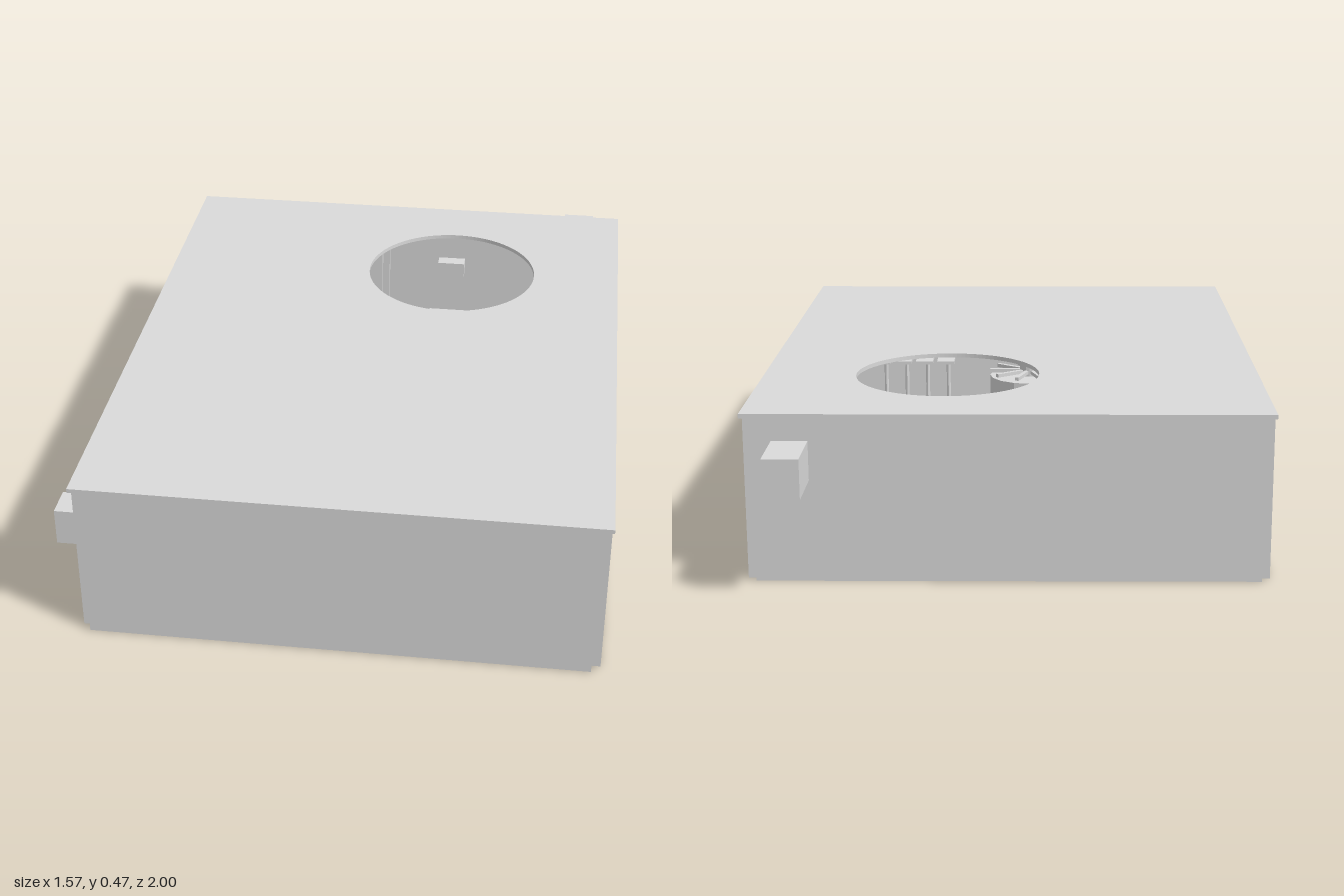
import * as THREE from 'three';

export function createModel() {
  const model = new THREE.Group();
  model.name = 'equipmentHousing';
  // One plain colour; every geometry below is faceted or flat
  const grey = new THREE.MeshStandardMaterial({ color: 0xdadada });
  grey.name = 'plain grey';
  grey.flatShading = true;

  const add = (name, geometry, x = 0, y = 0, z = 0) => {
    const mesh = new THREE.Mesh(geometry, grey);
    mesh.name = name;
    mesh.position.set(x, y, z);
    model.add(mesh);
    return mesh;
  };
  // Box given by its limits on each axis
  const box = (name, x0, x1, y0, y1, z0, z1) =>
    add(name, new THREE.BoxGeometry(x1 - x0, y1 - y0, z1 - z0),
      (x0 + x1) / 2, (y0 + y1) / 2, (z0 + z1) / 2);
  // Upright cylinder given by its bottom and top
  const post = (name, x, z, r, y0, y1, sides = 16) =>
    add(name, new THREE.CylinderGeometry(r, r, y1 - y0, sides), x, (y0 + y1) / 2, z);

  // Lid with a round opening
  const outline = new THREE.Shape([[-0.645, -1], [0.787, -1], [0.787, 0.83], [-0.645, 0.83]]
    .map(([x, y]) => new THREE.Vector2(x, y)));
  outline.holes.push(new THREE.Path().absarc(0.255, 0.368, 0.265, 0, Math.PI * 2, true));
  const lid = new THREE.ExtrudeGeometry(outline, { depth: 0.012, bevelEnabled: false, curveSegments: 64 });
  lid.rotateX(-Math.PI / 2);
  add('lid', lid, 0, 0.458, 0);

  // Walls, leaving a notch at each corner
  box('frontWall', -0.618, 0.757, 0, 0.46, 0.97, 0.998);
  box('backWall', -0.618, 0.757, 0, 0.46, -0.825, -0.798);
  box('rightWall', -0.642, -0.615, 0, 0.46, -0.8, 0.972);
  box('leftWall', 0.755, 0.782, 0, 0.46, -0.8, 0.972);

  // Narrow lip around the open bottom
  box('frontLip', -0.615, 0.755, 0, 0.012, 0.948, 0.97);
  box('backLip', -0.615, 0.755, 0, 0.012, -0.798, -0.776);
  box('rightLip', -0.615, -0.593, 0, 0.012, -0.776, 0.948);
  box('leftLip', 0.733, 0.755, 0, 0.012, -0.776, 0.948);

  // Outside connectors
  box('sideConnector', -0.787, -0.64, 0.073, 0.184, 0.613, 0.71);
  box('backConnector', 0.605, 0.703, 0.285, 0.395, -1, -0.82);

  // Upright ribs on the inside of the walls
  for (const x of [0.16, 0.13, -0.315]) box('frontRib', x - 0.008, x + 0.008, 0.012, 0.458, 0.945, 0.97);
  for (const x of [-0.22, -0.025, 0]) box('backRib', x - 0.008, x + 0.008, 0.012, 0.458, -0.798, -0.78);
  for (const z of [-0.08, 0.05]) box('leftRib', 0.737, 0.755, 0.012, 0.458, z - 0.01, z + 0.01);
  box('backWallBlock', 0.18, 0.27, 0.25, 0.3, -0.798, -0.755);

  // Square plates on the right wall
  for (const [z, y, s] of [[0.06, 0.2, 0.05], [-0.22, 0.213, 0.085]]) {
    box('wallPlate', -0.615, -0.607, y - s / 2, y + s / 2, z - s / 2, z + s / 2);
  }

  // Corner tray behind the side connector
  box('trayFloor', -0.616, -0.2, 0.04, 0.055, 0.45, 0.83);
  box('trayInnerSide', -0.215, -0.2, 0.055, 0.11, 0.45, 0.83);
  box('trayBackSide', -0.616, -0.215, 0.055, 0.11, 0.45, 0.465);
  box('trayFrontSide', -0.616, -0.215, 0.055, 0.11, 0.815, 0.83);

  // Boxes beneath the lid opening
  box('longUnit', 0.16, 0.535, 0.05, 0.16, -0.68, -0.5);
  box('smallUnit', 0.37, 0.55, 0.05, 0.2, -0.28, -0.14);

  // Tilted guides between the two boxes
  for (const x of [0.402, 0.486]) {
    add('guidePlate', new THREE.BoxGeometry(0.075, 0.008, 0.22), x, 0.14, -0.39).rotation.z = -0.6;
  }

  // Drums with short necks and a ring of spokes above each
  for (const [cx, cz] of [[0.03, 0.75], [-0.43, 0.3]]) {
    post('drum', cx, cz, 0.14, 0.11, 0.2);
    post('drumNeck', cx, cz, 0.035, 0.2, 0.25);
    for (let i = 0; i < 10; i++) {
      const a = i * Math.PI / 5;
      const spoke = add('spoke', new THREE.BoxGeometry(0.11, 0.012, 0.014),
        cx + Math.cos(a) * 0.085, 0.215, cz + Math.sin(a) * 0.085);
      spoke.rotation.y = -a;
    }
  }

  // Stepped knob, pin and small tabs under the lid
  post('knobBase', 0.17, 0.59, 0.055, 0.42, 0.458);
  post('knobTip', 0.17, 0.59, 0.032, 0.37, 0.42);
  post('pin', -0.29, 0.5, 0.016, 0.35, 0.458, 8);
  for (const [x, z] of [[-0.23, 0.46], [-0.38, 0.54], [-0.52, 0.64]]) {
    box('lidTab', x - 0.025, x + 0.025, 0.452, 0.459, z - 0.02, z + 0.02);
  }

  // Row of plates, and hanging rods near the front wall
  for (let i = 0; i < 4; i++) {
    const x = 0.55 - i * 0.075;
    box('stepPlate', x - 0.03, x + 0.03, 0.25, 0.26, 0.69, 0.79);
    post('hangingRod', x, 0.87, 0.007, 0.08, 0.23, 8);
    post('rodEnd', x, 0.87, 0.012, 0.07, 0.085, 8);
  }

  return model;
}
